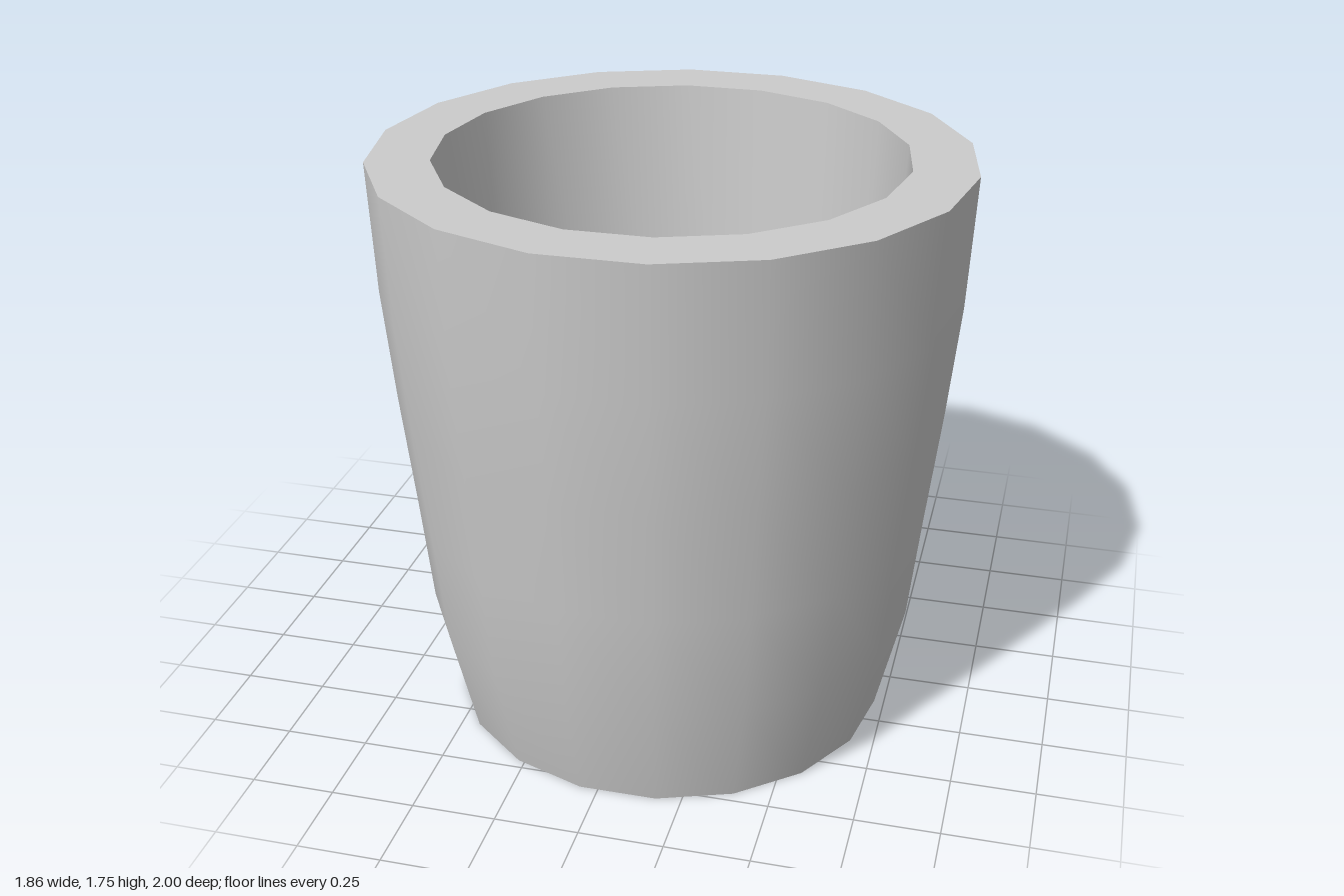
import * as THREE from 'three';
import { toCreasedNormals } from 'three/addons/utils/BufferGeometryUtils.js';

const SIDES = 18;
const rad = THREE.MathUtils.degToRad;
const points = (list) => list.map(([x, y]) => new THREE.Vector2(x, y));

// Hollow body: base, swelling outer wall, thick rim, tapering inside, floor
function bodyGeometry() {
  const profile = points([
    [0, 0], [0.66, 0], [0.74, 0.34], [0.775, 0.67], [0.815, 1.02],
    [0.848, 1.36], [0.867, 1.75],
    [0.682, 1.75], [0.59, 0.25], [0, 0.25],
  ]);
  const lathe = new THREE.LatheGeometry(profile, SIDES, rad(10));
  return toCreasedNormals(lathe, 0.6);
}

// Angular C-shaped handle, drawn as (distance from cup axis, height)
function handleGeometry() {
  const outline = new THREE.Shape(points([
    [0.69, 0.33], [1.1, 0.32], [1.306, 0.5], [1.372, 1.18], [1.21, 1.37], [0.76, 1.36],
    [0.76, 1.03], [1.064, 1.075], [1.155, 0.98], [1.104, 0.61], [1.02, 0.575], [0.69, 0.6],
  ]));
  const geo = new THREE.ExtrudeGeometry(outline, { depth: 1, bevelEnabled: false });
  geo.translate(0, 0, -0.5);

  // The handle is a little narrower towards the bottom
  const pos = geo.attributes.position;
  for (let i = 0; i < pos.count; i++) {
    const halfWidth = 0.123 + 0.0175 * pos.getY(i);
    pos.setZ(i, Math.sign(pos.getZ(i)) * halfWidth);
  }
  geo.computeVertexNormals();
  return geo;
}

export function createModel() {
  const mug = new THREE.Group();
  mug.name = 'mug';

  const body = new THREE.Mesh(
    bodyGeometry(), new THREE.MeshStandardMaterial({ color: 0xcccccc }));
  body.name = 'body';

  // Handle points to the back right, square to one side of the body
  const handle = new THREE.Mesh(
    handleGeometry(), new THREE.MeshStandardMaterial({ color: 0xcccccc, flatShading: true }));
  handle.name = 'handle';
  handle.rotation.y = rad(130);

  // Shift so that body and handle together are centred
  for (const part of [body, handle]) {
    part.position.set(0.06, 0, 0.145);
    mug.add(part);
  }
  return mug;
}
